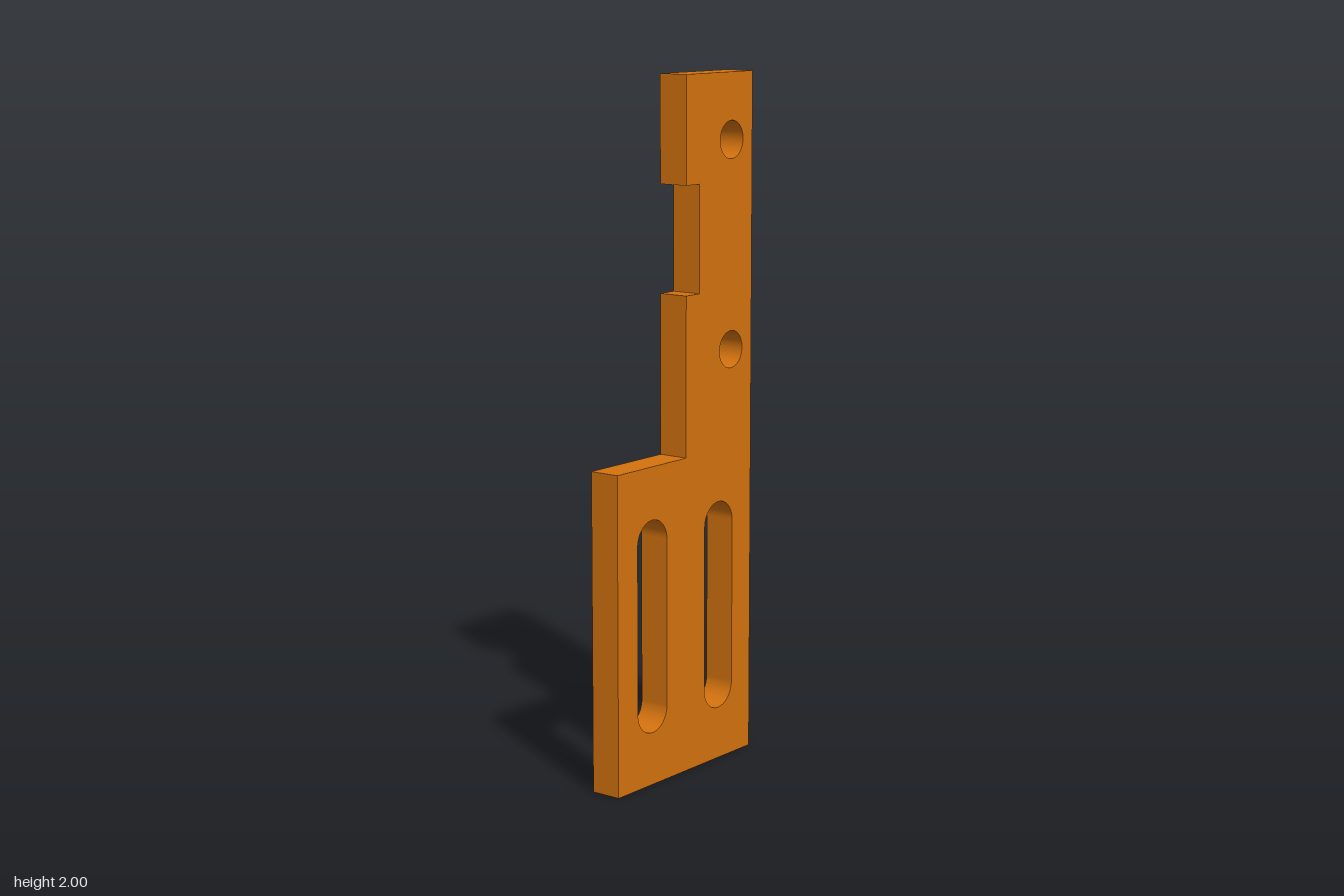
import * as THREE from 'three';

const HALF = 0.308, DEPTH = 0.092;

// Vertical slot with rounded ends; y0 and y1 are the arc centres (equal for a round hole)
function slot(x, y0, y1, r) {
  const path = new THREE.Path();
  path.absarc(x, y1, r, 0, Math.PI, false);
  path.absarc(x, y0, r, Math.PI, Math.PI * 2, false);
  path.closePath();
  return path;
}

export function createModel() {
  const group = new THREE.Group();
  group.name = 'mountingBracket';

  // Stepped outline: wide foot, narrow upright with a notch in its inner edge
  const outline = new THREE.Shape([
    [-HALF, 0], [HALF, 0], [HALF, 2], [0, 2],
    [0, 1.694], [0.06, 1.694], [0.06, 1.386], [0, 1.386],
    [0, 0.924], [-HALF, 0.924],
  ].map(([x, y]) => new THREE.Vector2(x, y)));

  // Adjustment slots in the foot
  for (const x of [-0.154, 0.154]) outline.holes.push(slot(x, 0.22, 0.706, 0.066));
  // Screw holes in the upright
  for (const y of [1.21, 1.81]) outline.holes.push(slot(0.21, y, y, 0.054));

  const geometry = new THREE.ExtrudeGeometry(outline, {
    depth: DEPTH, bevelEnabled: false, curveSegments: 24,
  });
  geometry.translate(0, 0, -DEPTH / 2);

  const plate = new THREE.Mesh(geometry, new THREE.MeshStandardMaterial({ color: 0xd5730e }));
  plate.name = 'plate';
  group.add(plate);
  return group;
}
